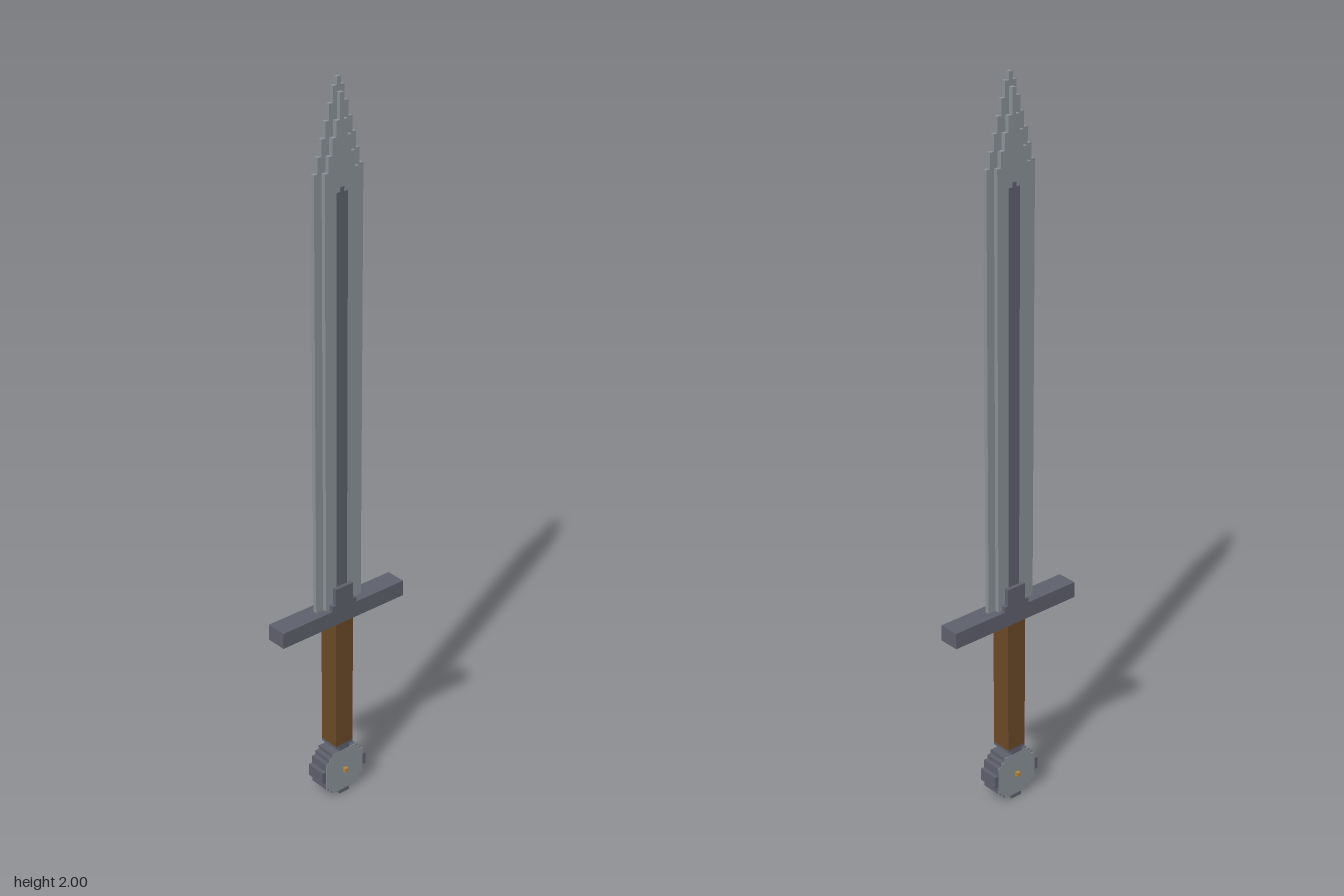
import * as THREE from 'three';

const V = 2 / 171; // size of one block

const mat = (name, color) => {
  const m = new THREE.MeshStandardMaterial({ color });
  m.name = name;
  return m;
};

export function createModel() {
  const steel = mat('steel', 0x8a9196);
  const iron = mat('darkIron', 0x5e606c);
  const wood = mat('wood', 0x6b4928);
  const brass = mat('brass', 0xb0853c);
  const sword = new THREE.Group();
  sword.name = 'sword';

  // Box given by full x width, full z depth and its y range
  const slab = (name, material, x, z, y0, y1, cx = 0) => {
    const mesh = new THREE.Mesh(new THREE.BoxGeometry(x, y1 - y0, z), material);
    mesh.position.set(cx, (y0 + y1) / 2, 0);
    mesh.name = name;
    sword.add(mesh);
  };

  // Stepped silhouette in the zy plane, mirrored in z: steps are [half width, top y]
  const stepped = (name, material, thickness, y0, steps, cx = 0) => {
    const right = [];
    let y = y0;
    for (const [w, top] of steps) {
      right.push([w, y], [w, top]);
      y = top;
    }
    const left = right.map(([w, h]) => [-w, h]).reverse();
    const shape = new THREE.Shape([...right, ...left].map(([w, h]) => new THREE.Vector2(w, h)));
    const geo = new THREE.ExtrudeGeometry(shape, { depth: thickness, bevelEnabled: false });
    geo.translate(0, 0, -thickness / 2).rotateY(Math.PI / 2);
    const mesh = new THREE.Mesh(geo, material);
    mesh.position.x = cx;
    mesh.name = name;
    sword.add(mesh);
  };

  // Blade: thin cutting edge with a thicker core, both stepping in to the point
  const tipLevels = [1.778, 1.818, 1.86, 1.9, 1.94, 1.98, 2];
  stepped('bladeEdge', steel, V, 0.585, tipLevels.map((y, i) => [(6.5 - i) * V, y]));
  const coreLevels = [1.778, 1.818, 1.86, 1.9, 1.965];
  stepped('bladeCore', steel, 3 * V, 0.585, coreLevels.map((y, i) => [(4.5 - i) * V, y]));

  // Dark fuller stripe on both faces
  for (const s of [-1, 1]) {
    stepped('fuller', iron, 0.002, 0.6, [[1.5 * V, 1.725], [0.5 * V, 1.737]], s * 1.5 * V);
  }

  // Crossguard and collar
  slab('crossguard', iron, 5 * V, 35 * V, 0.545, 0.59);
  stepped('collar', iron, 5 * V, 0.59, [[3.5 * V, 0.605], [2.5 * V, 0.652]]);

  // Grip
  slab('grip', wood, 5 * V, 5 * V, 0.16, 0.545);
  slab('gripFerrule', iron, 5 * V, 5 * V, 13 * V, 0.16);

  // Pommel: stepped disc, paler faces and a brass pin
  const disc = (inset) => [
    [1.5, 1], [3.5, 2], [4.5, 3], [5.5, 5], [inset ? 5.5 : 6.5, 8],
    [5.5, 10], [4.5, 11], [3.5, 12], [1.5, 13],
  ].slice(inset, 9 - inset).map(([w, y]) => [w * V, y * V]);
  stepped('pommel', iron, 5 * V, 0, disc(0));
  for (const s of [-1, 1]) {
    stepped('pommelFace', steel, 0.002, V, disc(1), s * 2.5 * V);
  }
  slab('pommelPin', brass, 7 * V, V, 6 * V, 7 * V);

  return sword;
}
